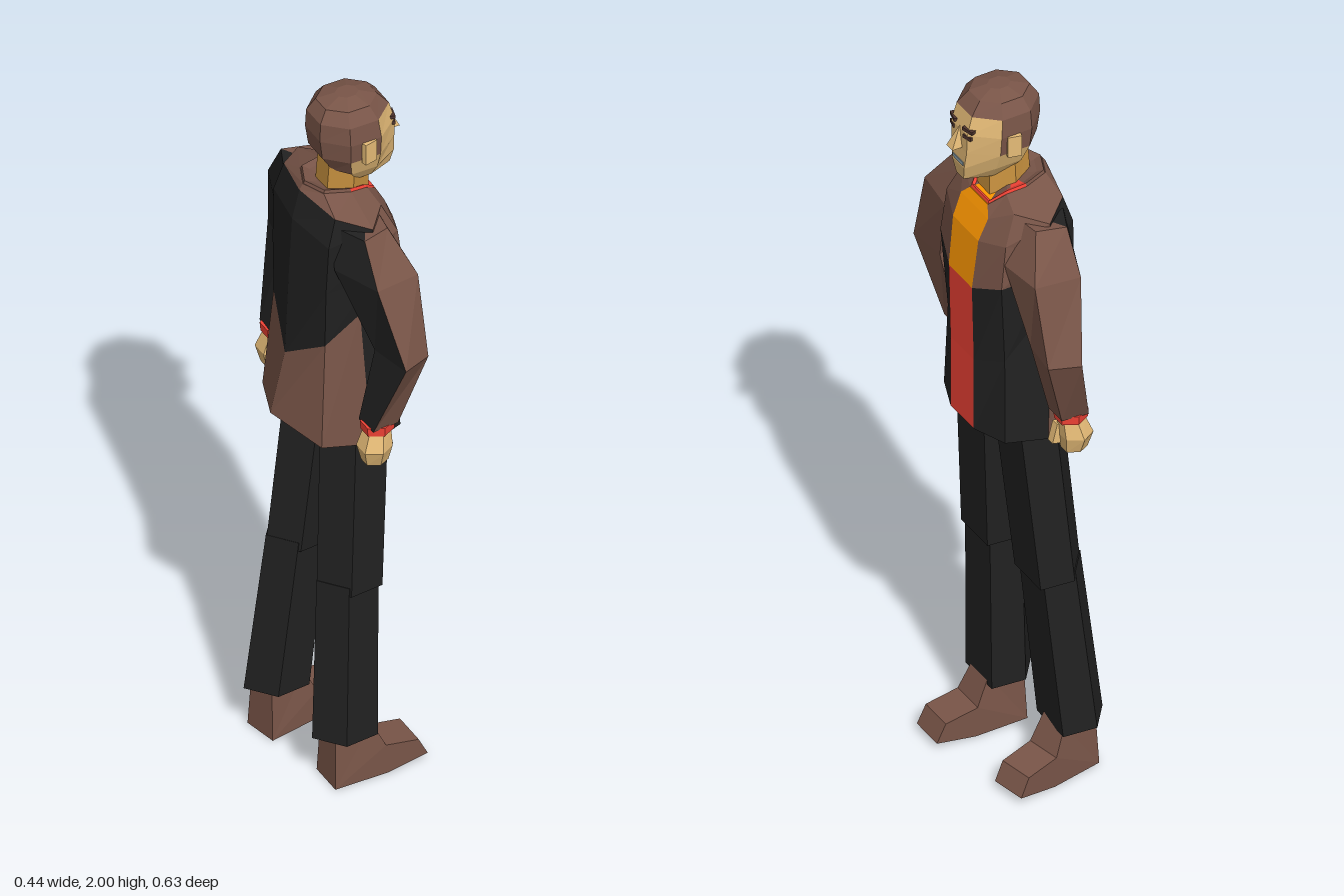
import * as THREE from 'three';

const BROWN = 0x795548, BLACK = 0x212121, RED = 0xf44336, ORANGE = 0xff9800;
const SKIN = 0xe5bb77, NECK = 0xc9923f, GREY = 0x90a4ae, DARK = 0x4e342e;

const materials = new Map();
function mat(color) {
  if (!materials.has(color)) {
    materials.set(color, new THREE.MeshStandardMaterial({ color, flatShading: true, side: THREE.DoubleSide }));
  }
  return materials.get(color);
}

function add(parent, name, geometry, color, x = 0, y = 0, z = 0) {
  const mesh = new THREE.Mesh(geometry, mat(color));
  mesh.name = name;
  mesh.position.set(x, y, z);
  parent.add(mesh);
  return mesh;
}

// Horizontal ring of n corners, front and back depths may differ
function ring(cx, y, cz, rx, front, n = 6, back = front) {
  return Array.from({ length: n }, (_, i) => {
    const a = ((i + 0.5) / n) * Math.PI * 2, c = Math.cos(a);
    return [cx + Math.sin(a) * rx, y, cz + c * (c > 0 ? front : back)];
  });
}

// Completes a left half outline (front to back centre) by mirroring it
function mirrorRing(half) {
  return [...half, ...half.slice(0, -1).reverse().map(([x, y, z]) => [-x, y, z])];
}

// Skin over rings listed from bottom to top; one mesh per colour
function loft(parent, name, rows, colorOf) {
  const pick = typeof colorOf === 'function' ? colorOf : () => colorOf;
  const buckets = new Map();
  const tri = (color, ...corners) => {
    if (!buckets.has(color)) buckets.set(color, []);
    buckets.get(color).push(...corners.flat());
  };
  const n = rows[0].length;
  const centre = (row) => [0, 1, 2].map((k) => row.reduce((s, p) => s + p[k], 0) / n);
  const top = rows.length - 1, low = centre(rows[0]), high = centre(rows[top]);
  for (let i = 0; i < n; i++) {
    const j = (i + 1) % n;
    for (let r = 0; r < top; r++) {
      const color = pick(r, i), a = rows[r][i], c = rows[r + 1][j];
      tri(color, a, rows[r][j], c);
      tri(color, a, c, rows[r + 1][i]);
    }
    // End caps
    tri(pick(-1, i), low, rows[0][j], rows[0][i]);
    tri(pick(top, i), high, rows[top][i], rows[top][j]);
  }
  const group = new THREE.Group();
  group.name = name;
  for (const [color, points] of buckets) {
    const g = new THREE.BufferGeometry();
    g.setAttribute('position', new THREE.Float32BufferAttribute(points, 3));
    g.computeVertexNormals();
    add(group, name + 'Panel', g, color);
  }
  parent.add(group);
}

// Jacket and shirt: stripe edge, chest, side, rear side, spine for each level
function buildTorso(body) {
  const rows = [
    [[.055, 1.04, .135], [.145, 1.04, .10], [.182, 1.04, 0], [.15, 1.05, -.12], [0, 1.08, -.18]],
    [[.055, 1.25, .135], [.135, 1.28, .095], [.162, 1.43, -.02], [.13, 1.34, -.10], [0, 1.25, -.14]],
    [[.055, 1.47, .14], [.145, 1.51, .11], [.18, 1.54, 0], [.135, 1.5, -.10], [0, 1.47, -.13]],
    [[.06, 1.61, .125], [.14, 1.63, .095], [.19, 1.63, 0], [.14, 1.64, -.095], [0, 1.65, -.12]],
    [[.064, 1.67, .1], [.12, 1.705, .06], [.19, 1.698, 0], [.13, 1.715, -.072], [0, 1.73, -.1]],
    [[.042, 1.695, .088], [.068, 1.728, .05], [.08, 1.74, 0], [.06, 1.745, -.065], [0, 1.745, -.09]],
  ].map(mirrorRing);
  loft(body, 'jacket', rows, (r, i) => {
    const seg = Math.min(i, 7 - i); // -1 stripe, 0 front, 1 side, 2 rear side, 3 back
    if (r < 0) return BLACK;
    if (i === 8) return r < 2 ? RED : ORANGE;
    if (r === 0) return seg >= 2 ? BROWN : BLACK;
    if (r === 1) return BLACK;
    return seg >= 2 && r < 4 ? BLACK : BROWN;
  });
  // Red trim round the front of the neckline
  const scaled = (k, dy) => rows[5].map(([x, y, z]) => [x * k, y + dy, z * k]);
  loft(body, 'collarTrim', [scaled(1.01, -.006), scaled(.95, .008), scaled(.75, 0)],
    (r, i) => (i < 2 || i > 5 ? RED : BROWN));
}

function buildArm(body, s, handZ) {
  const arm = new THREE.Group();
  arm.name = s > 0 ? 'leftArm' : 'rightArm';
  body.add(arm);
  // Four-cornered section: outer front, outer back, inner back, inner front
  const section = (y, corners) => {
    const row = corners.map(([x, z]) => [s * x, y, z]);
    return s > 0 ? row : row.reverse();
  };
  loft(arm, 'sleeve', [
    section(1.145, [[.258, handZ + .042], [.265, handZ - .03], [.2, handZ - .035], [.195, handZ + .042]]),
    section(1.37, [[.32, .082], [.35, .004], [.235, -.02], [.215, .07]]),
    section(1.58, [[.262, .085], [.278, -.035], [.15, -.085], [.14, .1]]),
    section(1.69, [[.19, .04], [.212, -.035], [.12, -.075], [.12, .05]]),
  ], (r, i) => (i === 1 ? BLACK : BROWN));
  loft(arm, 'cuff', [ring(s * .23, 1.125, handZ, .038, .042), ring(s * .231, 1.15, handZ, .039, .044)], RED);
  loft(arm, 'hand', [
    ring(s * .232, 1.035, handZ - .008, .03, .034),
    ring(s * .234, 1.08, handZ - .01, .045, .044),
    ring(s * .23, 1.13, handZ, .032, .034),
  ], SKIN);
  const thumb = add(arm, 'thumb', new THREE.BoxGeometry(.022, .055, .022), SKIN, s * .212, 1.08, handZ + .03);
  thumb.rotation.x = -.25;
}

// Trouser leg from hem, knee and hip positions, and shoe
function buildLeg(body, s, hem, knee, hip, yaw) {
  const leg = new THREE.Group();
  leg.name = s > 0 ? 'leftLeg' : 'rightLeg';
  body.add(leg);
  // Five-cornered section: flat front, crease down the back
  const section = (y, [cx, cz], k) => mirrorRing([[.06, 0, .052], [.069, 0, -.035], [0, 0, -.09]])
    .map(([x, , z]) => [cx + x * k, y, cz + z * k]);
  loft(leg, 'shin', [section(.14, hem, 1.04), section(.61, knee, .98)], BLACK);
  loft(leg, 'thigh', [section(.585, [knee[0], knee[1] + .006], 1.04), section(1.07, hip, 1.08)], BLACK);

  // Shoe side profile, narrowing to the ankle
  const profile = [[-.055, 0], [.09, 0], [.2, .02], [.175, .07], [.085, .085], [.05, .16], [-.05, .16]];
  const shoe = new THREE.ExtrudeGeometry(
    new THREE.Shape(profile.map(([x, y]) => new THREE.Vector2(x, y))), { depth: .095, bevelEnabled: false });
  shoe.rotateY(-Math.PI / 2).translate(.0475, 0, 0);
  const p = shoe.attributes.position;
  for (let i = 0; i < p.count; i++) if (p.getY(i) > .1) p.setX(i, p.getX(i) * .8);
  add(leg, 'shoe', shoe, BROWN, hem[0], 0, hem[1]).rotation.y = yaw;
}

function buildHead(body) {
  const head = new THREE.Group();
  head.name = 'head';
  head.position.set(-.02, 0, .02);
  body.add(head);
  loft(head, 'neck', [ring(.01, 1.68, -.01, .06, .068), ring(0, 1.83, -.01, .058, .062)], NECK);

  // Each level: height, half width, front depth, back depth
  const levels = [
    [1.76, .045, .118, -.01], [1.8, .074, .124, .06], [1.85, .094, .121, .094], [1.905, .1, .12, .102],
    [1.955, .094, .105, .1], [1.987, .068, .075, .078], [2, .025, .03, .03],
  ];
  const rows = levels.map(([y, w, f, b]) => ring(0, y, 0, w, f, 8, b));
  loft(head, 'skull', rows, (r, i) => {
    const c = Math.cos(((i + 1) * Math.PI) / 4);
    if (r <= 0) return SKIN;
    if (r > 3) return BROWN;
    return c > (r === 1 ? -.1 : .3) ? SKIN : BROWN;
  });

  // Wedge nose
  const nose = new THREE.ConeGeometry(.02, .06, 4, 1).rotateY(Math.PI / 4);
  const p = nose.attributes.position;
  for (let i = 0; i < p.count; i++) if (p.getY(i) < 0 && p.getZ(i) > .005) p.setZ(i, .03);
  add(head, 'nose', nose, SKIN, 0, 1.885, .109);
  add(head, 'mouth', new THREE.BoxGeometry(.05, .01, .012), GREY, 0, 1.812, .11);
  for (const s of [-1, 1]) {
    const brow = add(head, 'eyebrow', new THREE.BoxGeometry(.034, .009, .014), DARK, s * .034, 1.917, .104);
    brow.rotation.y = s * .25;
    const eye = add(head, 'eye', new THREE.BoxGeometry(.026, .01, .012), DARK, s * .034, 1.897, .106);
    eye.rotation.y = s * .25;
    const ear = add(head, 'ear', new THREE.BoxGeometry(.014, .06, .036), SKIN, s * .094, 1.875, .012);
    ear.rotation.y = s * -.25;
  }
}

export function createModel() {
  const model = new THREE.Group();
  model.name = 'standingMan';
  const body = new THREE.Group();
  body.name = 'body';
  body.rotation.y = THREE.MathUtils.degToRad(117);
  model.add(body);

  buildTorso(body);
  buildArm(body, 1, -.035);
  buildArm(body, -1, -.01);
  buildLeg(body, 1, [.147, -.08], [.118, -.04], [.088, .005], .2);
  buildLeg(body, -1, [-.108, -.03], [-.102, -.02], [-.09, .005], 0);
  buildHead(body);
  return model;
}
